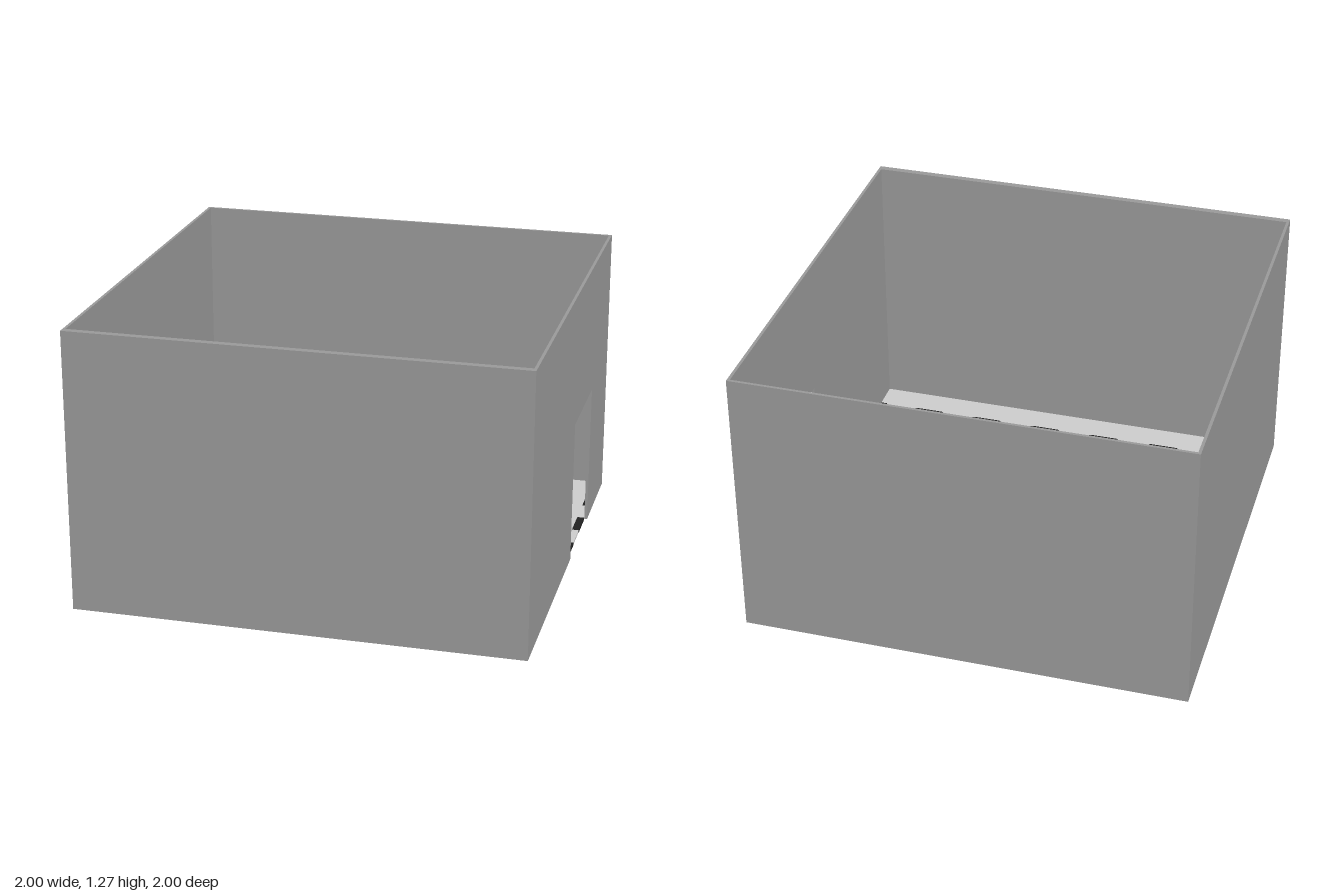
import * as THREE from 'three';

const wallMat = new THREE.MeshStandardMaterial({ name: 'wall grey', color: 0x999999 });
const floorMat = new THREE.MeshStandardMaterial({ name: 'floor light grey', color: 0xcccccc });
const tileMat = new THREE.MeshStandardMaterial({ name: 'tile black', color: 0x222222 });

const H = 1.27;       // wall height
const T = 0.013;      // side and back wall thickness
const TF = 0.03;      // front wall thickness

// Box given by its lower and upper corners
function box(name, mat, [x0, y0, z0], [x1, y1, z1]) {
  const mesh = new THREE.Mesh(new THREE.BoxGeometry(x1 - x0, y1 - y0, z1 - z0), mat);
  mesh.position.set((x0 + x1) / 2, (y0 + y1) / 2, (z0 + z1) / 2);
  mesh.name = name;
  return mesh;
}

// Flat plate with small rounded corners, lying from y = 0 up to the given height
function tileGeometry(w, d, height, r) {
  const s = new THREE.Shape();
  const x = w / 2, y = d / 2;
  s.moveTo(-x + r, -y);
  s.lineTo(x - r, -y);
  s.quadraticCurveTo(x, -y, x, -y + r);
  s.lineTo(x, y - r);
  s.quadraticCurveTo(x, y, x - r, y);
  s.lineTo(-x + r, y);
  s.quadraticCurveTo(-x, y, -x, y - r);
  s.lineTo(-x, -y + r);
  s.quadraticCurveTo(-x, -y, -x + r, -y);
  const geo = new THREE.ExtrudeGeometry(s, { depth: height, bevelEnabled: false, curveSegments: 3 });
  return geo.rotateX(-Math.PI / 2);
}

export function createModel() {
  const room = new THREE.Group();
  room.name = 'room';

  // Walls
  room.add(box('frontWall', wallMat, [-1, 0, 1 - TF], [1, H, 1]));
  room.add(box('backWall', wallMat, [-1, 0, -1], [1, H, -1 + T]));
  room.add(box('rightWall', wallMat, [-1, 0, -1 + T], [-1 + T, H, 1 - TF]));

  // Left wall with the doorway, drawn as (z, y) and turned into place
  const outline = [
    [-1 + T, 0], [-0.54, 0], [-0.54, 0.655], [-0.06, 0.655],
    [-0.06, 0], [1 - TF, 0], [1 - TF, H], [-1 + T, H],
  ];
  const doorShape = new THREE.Shape(outline.map(([z, y]) => new THREE.Vector2(z, y)));
  const doorGeo = new THREE.ExtrudeGeometry(doorShape, { depth: T, bevelEnabled: false });
  doorGeo.rotateY(-Math.PI / 2);
  const doorWall = new THREE.Mesh(doorGeo, wallMat);
  doorWall.position.x = 1;
  doorWall.name = 'doorWall';
  room.add(doorWall);

  // Floor slab
  room.add(box('floor', floorMat, [-1 + T, 0.001, -1 + T], [1 - T, 0.012, 1 - TF]));

  // Dark tiles through the floor; the last column is cut off by the wall
  const tiles = new THREE.Group();
  tiles.name = 'floorTiles';
  const size = 0.152, step = 0.302, edge = 1 - T + 0.001;
  const full = tileGeometry(size, size, 0.013, 0.014);
  for (let col = 0; col < 7; col++) {
    const cx = -0.78 + col * step;
    const left = cx - size / 2;
    const cut = cx + size / 2 > edge;
    const geo = cut ? tileGeometry(edge - left, size, 0.013, 0.004) : full;
    for (let row = 0; row < 6; row++) {
      const tile = new THREE.Mesh(geo, tileMat);
      tile.position.set(cut ? (left + edge) / 2 : cx, 0, -0.75 + row * step);
      tile.name = 'floorTile';
      tiles.add(tile);
    }
  }
  room.add(tiles);
  return room;
}
